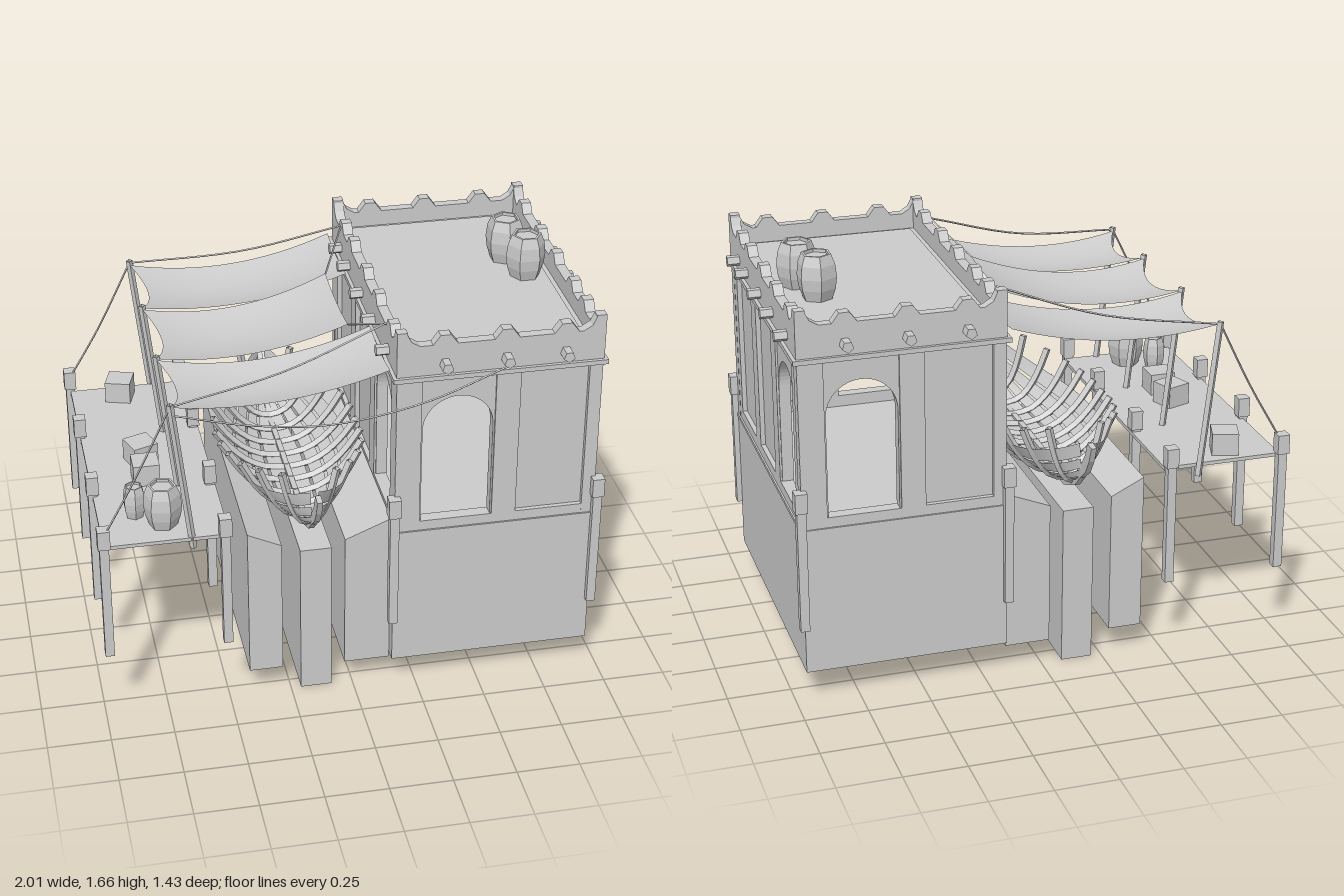
import * as THREE from 'three';

const flat = new THREE.MeshStandardMaterial({ color: 0xcccccc, flatShading: true, side: THREE.DoubleSide });
const smooth = new THREE.MeshStandardMaterial({ color: 0xcccccc, side: THREE.DoubleSide });

function add(parent, name, geo, x = 0, y = 0, z = 0, mat = flat) {
  const m = new THREE.Mesh(geo, mat);
  m.name = name;
  m.position.set(x, y, z);
  parent.add(m);
  return m;
}
// box given by its limits
function box(parent, name, x0, x1, y0, y1, z0, z1) {
  return add(parent, name, new THREE.BoxGeometry(x1 - x0, y1 - y0, z1 - z0), (x0 + x1) / 2, (y0 + y1) / 2, (z0 + z1) / 2);
}
const shapeOf = pts => new THREE.Shape(pts.map(p => new THREE.Vector2(...p)));
const extrude = (shape, depth) => new THREE.ExtrudeGeometry(shape, { depth, bevelEnabled: false, curveSegments: 12 });

// grid surface from a rule f(u, v) -> [x, y, z]
function surface(nu, nv, f) {
  const pos = [], idx = [];
  for (let i = 0; i <= nu; i++) for (let j = 0; j <= nv; j++) pos.push(...f(i / nu, j / nv));
  for (let i = 0; i < nu; i++) for (let j = 0; j < nv; j++) {
    const a = i * (nv + 1) + j, b = a + nv + 1;
    idx.push(a, a + 1, b, b, a + 1, b + 1);
  }
  const g = new THREE.BufferGeometry();
  g.setAttribute('position', new THREE.Float32BufferAttribute(pos, 3));
  g.setIndex(idx);
  g.computeVertexNormals();
  return g;
}
function tube(parent, name, pts, r = 0.004, seg = 12) {
  const curve = new THREE.CatmullRomCurve3(pts.map(p => new THREE.Vector3(...p)));
  return add(parent, name, new THREE.TubeGeometry(curve, seg, r, 4));
}
function post(parent, x, z) {
  box(parent, 'postShaft', x - 0.018, x + 0.018, 0.315, 0.81, z - 0.018, z + 0.018);
  box(parent, 'postHead', x - 0.024, x + 0.024, 0.81, 0.89, z - 0.024, z + 0.024);
}
// hexagonal bulging barrel with a recessed lid
function barrel(parent, x, y, z, r, h, turn) {
  const p = [[0, 0], [0.74, 0], [0.93, 0.25], [1, 0.5], [0.93, 0.78], [0.74, 1], [0.62, 1], [0.62, 0.93], [0, 0.93]];
  const m = add(parent, 'barrel', new THREE.LatheGeometry(p.map(q => new THREE.Vector2(q[0] * r, q[1] * h)), 6), x, y, z);
  m.rotation.y = turn;
}

// one storey side facing local +z: pillars, bays, cornice, crenellated parapet and beam ends
function makeSide(L, out, arch, panels, beams) {
  const g = new THREE.Group();
  const rect = (x, w, y0, y1) => [[x - w / 2, y0], [x + w / 2, y0], [x + w / 2, y1], [x - w / 2, y1]];
  const wall = shapeOf(rect(0, 2 * L - 0.004, 0.71, 1.4));
  const bays = [[arch, 0.288], ...panels];
  for (const [x, w] of bays) wall.holes.push(new THREE.Path(rect(x, w, 0.767, 1.392).map(p => new THREE.Vector2(...p))));
  add(g, 'pillarWall', extrude(wall, 0.05), 0, 0, out - 0.053);
  for (const [x, w] of panels) box(g, 'recessedPanel', x - w / 2, x + w / 2, 0.767, 1.395, out - 0.045, out - 0.022);
  // arched infill
  const r = 0.138, sp = 1.17;
  const inf = new THREE.Shape();
  inf.moveTo(-0.144, 1.395).lineTo(-0.144, 0.767).lineTo(-r, 0.767).lineTo(-r, sp);
  inf.absarc(0, sp, r, Math.PI, 0, true);
  inf.lineTo(r, 0.767).lineTo(0.144, 0.767).lineTo(0.144, 1.395);
  add(g, 'archInfill', extrude(inf, 0.045), arch, 0, out - 0.056);
  box(g, 'sillLedge', -L - 0.004, L + 0.004, 0.712, 0.726, out - 0.05, out + 0.004);
  box(g, 'cornice', -L - 0.014, L + 0.014, 1.395, 1.414, out - 0.05, out + 0.014);
  // parapet silhouette
  const pts = [[-L, 1.41], [-L, 1.6], [-L + 0.035, 1.6], [-L + 0.055, 1.56], [-L + 0.088, 1.54]];
  for (const b of beams) pts.push([b - 0.048, 1.54], [b - 0.02, 1.578], [b + 0.02, 1.578], [b + 0.048, 1.54]);
  pts.push([L - 0.088, 1.54], [L - 0.055, 1.56], [L - 0.035, 1.6], [L, 1.6], [L, 1.41]);
  add(g, 'parapet', extrude(shapeOf(pts), 0.04), 0, 0, out - 0.04);
  for (const b of beams) {
    const m = add(g, 'beamEnd', new THREE.CylinderGeometry(0.023, 0.023, 0.07, 5), b, 1.46, out + 0.015);
    m.rotation.x = Math.PI / 2;
  }
  return g;
}

// box without its underside
function openBox(w, h, d) {
  const g = new THREE.BoxGeometry(w, h, d);
  const idx = Array.from(g.index.array);
  idx.splice(18, 6);
  g.setIndex(idx);
  return g;
}

function makeHouse() {
  const house = new THREE.Group();
  house.name = 'house';
  house.position.x = 0.553;
  add(house, 'base', openBox(0.806, 0.593, 1.22), 0, 0.4215, 0);
  // front and right sides, repeated half a turn round for back and left
  for (const turn of [0, Math.PI]) {
    const front = makeSide(0.403, 0.61, -0.158, [[0.237, 0.31]], [-0.218, 0.02, 0.25]);
    front.name = turn ? 'backSide' : 'frontSide';
    front.rotation.y = turn;
    const side = makeSide(0.61, 0.403, 0.37, [[-0.367, 0.28], [0, 0.28]], [-0.42, -0.255, -0.01, 0.215, 0.465]);
    side.name = turn ? 'leftSide' : 'rightSide';
    side.rotation.y = turn + Math.PI / 2;
    house.add(front, side);
  }
  box(house, 'roof', -0.37, 0.37, 1.395, 1.475, -0.575, 0.575);
  box(house, 'roofInset', -0.343, 0.343, 1.47, 1.48, -0.553, 0.553);
  barrel(house, 0.215, 1.48, -0.16, 0.08, 0.18, 0);
  barrel(house, 0.257, 1.48, 0.0, 0.08, 0.18, 0.5);
  for (const x of [-0.405, 0.407]) for (const z of [-0.617, 0.617]) post(house, x, z);
  return house;
}

// slipway blocks with sloping tops, running front to back
function makeSlipway(root) {
  const blocks = [
    [-0.417, -0.283, 0.11, 0.755, 0.69],
    [-0.21, -0.085, 0, 0.655, 0.655],
    [-0.032, 0.15, 0.1, 0.685, 0.76],
  ];
  for (const [x0, x1, y0, ya, yb] of blocks) {
    const g = openBox(x1 - x0, 1, 1.145);
    const p = g.attributes.position;
    for (let i = 0; i < p.count; i++) p.setY(i, p.getY(i) < 0 ? y0 : p.getX(i) < 0 ? ya : yb);
    add(root, 'slipwayBlock', g, (x0 + x1) / 2, 0, -0.015);
  }
}

function makeBoat() {
  const boat = new THREE.Group();
  boat.name = 'boatFrame';
  boat.position.set(-0.16, 0, -0.005);
  // hull rule: t along the length (-1..1), s from keel to rib tip
  const hull = (t, s, side, grow = 0) => {
    const a = Math.abs(t);
    const w = 0.285 * (1 - Math.pow(a, 2.3)) + 0.012 + grow;
    return [side * w * Math.pow(s, 0.85), 0.695 + 0.1 * Math.pow(a, 4) + (0.2 + 0.04 * a) * s * s, 0.6 * t];
  };
  for (const side of [-1, 1]) {
    for (let k = 0; k < 4; k++) {
      const s0 = 0.02 + k * 0.2, s1 = s0 + 0.165;
      add(boat, 'hullPlank', surface(20, 2, (u, v) => hull(u * 2 - 1, s0 + (s1 - s0) * v, side, 0.008)), 0, 0, 0, smooth);
    }
    for (let i = -5; i <= 5; i++) {
      const t = i * 0.165;
      tube(boat, 'rib', [0, 0.25, 0.5, 0.75, 1].map(s => hull(t, s, side, -0.006)), 0.016, 8);
    }
  }
  // keel with curved stem and stern
  const outer = [[0.4, 0.68], [0.53, 0.735], [0.6, 0.8], [0.65, 0.84], [0.69, 0.9], [0.715, 0.965]];
  const inner = [[0.668, 0.97], [0.645, 0.91], [0.6, 0.855], [0.53, 0.785], [0.4, 0.71]];
  const half = [...outer, ...inner];
  const keel = shapeOf([...half, ...half.map(([z, y]) => [-z, y]).reverse()]);
  add(boat, 'keel', extrude(keel, 0.022).translate(0, 0, -0.011).rotateY(-Math.PI / 2));
  return boat;
}

function makeJetty() {
  const jetty = new THREE.Group();
  jetty.name = 'jetty';
  box(jetty, 'deck', -0.975, -0.49, 0.785, 0.8, -0.615, 0.6);
  for (const x of [-0.975, -0.51]) for (const z of [-0.635, -0.235, 0.22, 0.615]) post(jetty, x, z);
  for (const [x, z, turn] of [[-0.775, -0.53, -0.3], [-0.755, 0, 0.35], [-0.755, 0.145, 0]])
    add(jetty, 'crate', new THREE.BoxGeometry(0.105, 0.09, 0.105), x, 0.845, z).rotation.y = turn;
  barrel(jetty, -0.73, 0.8, 0.48, 0.075, 0.175, 0.3);
  barrel(jetty, -0.83, 0.8, 0.4, 0.046, 0.135, 0);
  return jetty;
}

function makeAwning() {
  const awning = new THREE.Group();
  awning.name = 'awning';
  const poleZ = [-0.622, -0.215, 0.21, 0.59];
  for (const z of poleZ) {
    const pole = tube(awning, 'pole', [[-0.63, 0.75, z], [-0.7, 1.385, z]], 0.014, 1);
    pole.name = 'awningPole';
  }
  // three sagging cloths: z at pole end, z at house end, house x and y
  const cloths = [
    [-0.61, -0.22, -0.605, -0.225, 0.13, 1.44],
    [-0.21, 0.205, -0.225, 0.22, 0.045, 1.45],
    [0.215, 0.585, 0.23, 0.59, 0.13, 1.44],
  ];
  for (const [za, zb, zc, zd, xe, ye] of cloths) {
    add(awning, 'cloth', surface(16, 10, (u, v) => {
      const bow = 4 * v * (1 - v), arc = 4 * u * (1 - u);
      const x = THREE.MathUtils.lerp(-0.7, xe, u) + 0.05 * bow * (1 - u);
      const z0 = THREE.MathUtils.lerp(za, zc, u) + 0.012 * arc, z1 = THREE.MathUtils.lerp(zb, zd, u) - 0.012 * arc;
      const y = THREE.MathUtils.lerp(1.37, ye, u) - 0.06 * arc - bow * (0.035 - 0.02 * u);
      return [x, y, z0 + (z1 - z0) * v];
    }), 0, 0, 0, smooth);
  }
  // ropes: stays to the parapet, ties to the middle cloth, guys to the jetty posts
  for (const [s, zp] of [[-1, -0.622], [1, 0.59]]) {
    tube(awning, 'stayRope', [[-0.7, 1.375, zp], [-0.25, 1.43, zp - s * 0.09], [0.15, 1.555, s * 0.43]]);
    tube(awning, 'tieRope', [[0.15, 1.55, s * 0.43], [0.045, 1.45, s * 0.22]]);
    tube(awning, 'guyRope', [[-0.7, 1.375, zp], [-0.84, 1.1, s * 0.61], [-0.96, 0.885, s * 0.622]]);
  }
  tube(awning, 'slackRope', [[-0.7, 1.34, 0.59], [-0.4, 1.285, 0.63], [-0.1, 1.27, 0.655], [0.25, 1.33, 0.662], [0.575, 1.445, 0.65]], 0.004, 24);
  return awning;
}

export function createModel() {
  const root = new THREE.Group();
  root.name = 'dockHouse';
  root.add(makeHouse(), makeBoat(), makeJetty(), makeAwning());
  makeSlipway(root);
  return root;
}
